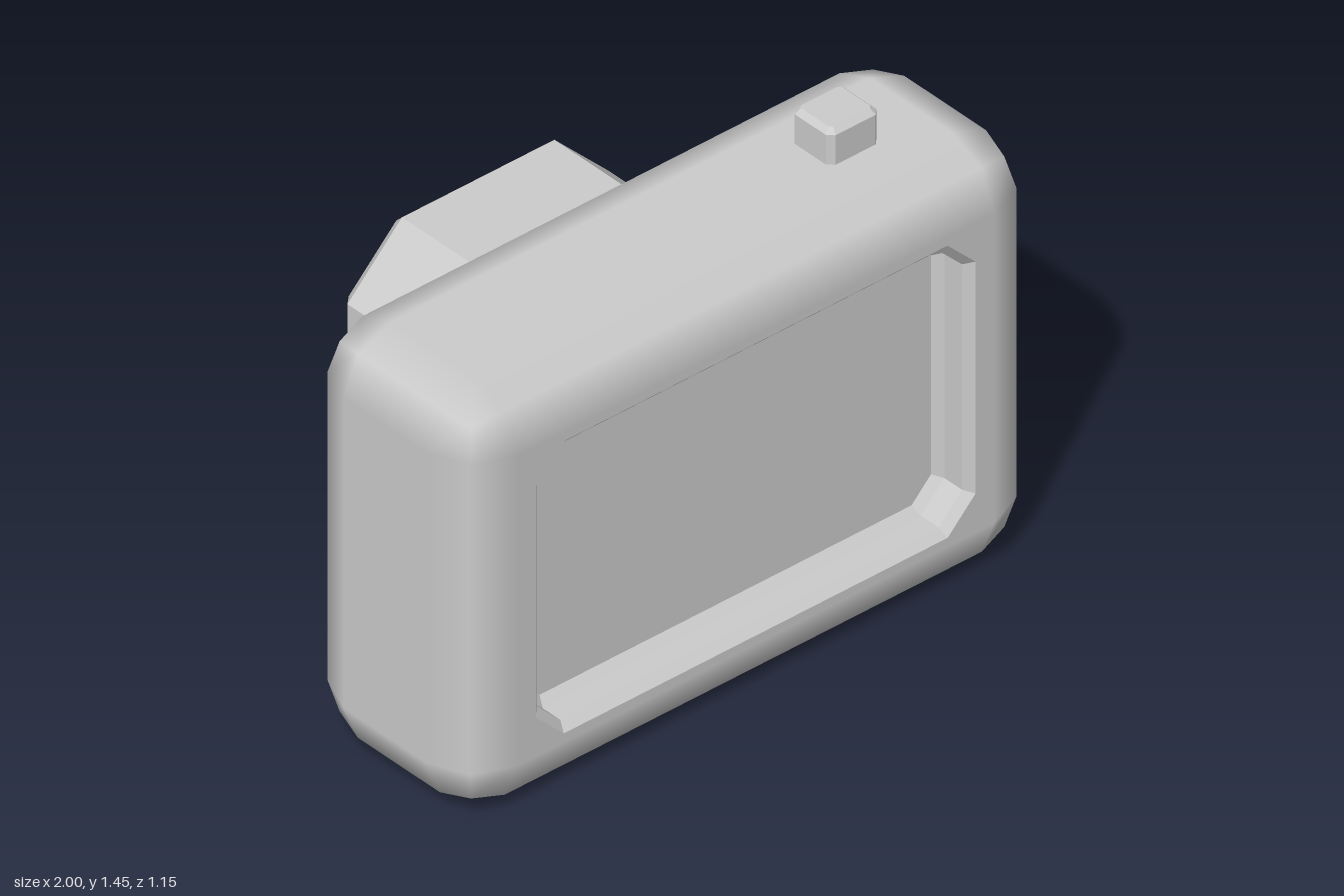
import * as THREE from 'three';
import { RoundedBoxGeometry } from 'three/addons/geometries/RoundedBoxGeometry.js';

const W = 2, H = 1.335, D = 0.665, R = 0.17;
const MID_Y = H / 2, MID_Z = 0.24;
const FRONT = MID_Z + D / 2, BACK = MID_Z - D / 2;

// Rectangle with clipped corners, counter-clockwise; inset keeps side distances even
function octagon(hx, hy, cut, inset = 0) {
  const x = hx - inset, y = hy - inset, c = cut - inset * 0.586;
  return [[x, c - y], [x, y - c], [x - c, y], [c - x, y],
    [-x, y - c], [-x, c - y], [c - x, -y], [x - c, -y]];
}

// Skin clipped-corner rings given as [inset, z], closing the last one with a flat cap
function loft(hx, hy, cut, profile, flip) {
  const pos = [];
  const tri = (a, b, c) => pos.push(...a, ...(flip ? c : b), ...(flip ? b : c));
  const rings = profile.map(([inset, z]) =>
    octagon(hx, hy, cut, inset).map(([x, y]) => [x, y, z]));
  for (let r = 0; r < rings.length - 1; r++) {
    for (let i = 0; i < 8; i++) {
      const j = (i + 1) % 8;
      tri(rings[r][i], rings[r][j], rings[r + 1][j]);
      tri(rings[r][i], rings[r + 1][j], rings[r + 1][i]);
    }
  }
  const cap = rings[rings.length - 1];
  for (let i = 1; i < 7; i++) tri(cap[0], cap[i], cap[i + 1]);
  const geo = new THREE.BufferGeometry();
  geo.setAttribute('position', new THREE.Float32BufferAttribute(pos, 3));
  geo.computeVertexNormals();
  return geo;
}

// Rounded box without its flat front panel
function shellGeometry() {
  const box = new RoundedBoxGeometry(W, H, D, 1, R);
  const src = box.index ? box.toNonIndexed() : box;
  const p = src.attributes.position, n = src.attributes.normal;
  const pos = [], nor = [];
  for (let i = 0; i < p.count; i += 3) {
    if ([0, 1, 2].every(k => p.getZ(i + k) > D / 2 - 0.001)) continue;
    for (let k = i; k < i + 3; k++) {
      pos.push(p.getX(k), p.getY(k), p.getZ(k));
      nor.push(n.getX(k), n.getY(k), n.getZ(k));
    }
  }
  const geo = new THREE.BufferGeometry();
  geo.setAttribute('position', new THREE.Float32BufferAttribute(pos, 3));
  geo.setAttribute('normal', new THREE.Float32BufferAttribute(nor, 3));
  return geo;
}

export function createModel() {
  const group = new THREE.Group();
  const smooth = new THREE.MeshStandardMaterial({ color: 0xcccccc });
  const flat = new THREE.MeshStandardMaterial({ color: 0xcccccc, flatShading: true });
  const add = (name, geo, mat, x, y, z) => {
    const mesh = new THREE.Mesh(geo, mat);
    mesh.name = name;
    mesh.position.set(x, y, z);
    group.add(mesh);
  };

  // Body shell and the front panel with the screen opening
  add('body', shellGeometry(), smooth, 0, MID_Y, MID_Z);
  const px = W / 2 - R, py = H / 2 - R;
  const vec = ([x, y]) => new THREE.Vector2(x, y);
  const panel = new THREE.Shape([[-px, -py], [px, -py], [px, py], [-px, py]].map(vec));
  const screen = [0.765, 0.47, 0.097];
  panel.holes.push(new THREE.Path(octagon(...screen).map(vec).reverse()));
  add('screenFrame', new THREE.ShapeGeometry(panel), smooth, 0, MID_Y, FRONT);

  // Recessed screen with chamfered lip and foot
  add('screen', loft(...screen,
    [[0, 0], [0.025, -0.025], [0.025, -0.095], [0.05, -0.12]], false), flat, 0, MID_Y, FRONT);

  // Lens barrel: flared foot, chamfered rim, recessed glass
  add('lens', loft(0.455, 0.405, 0.19, [
    [-0.03, BACK + 0.01], [-0.03, BACK], [0, -0.125], [0, -0.53], [0.042, -0.573],
    [0.12, -0.573], [0.145, -0.548], [0.145, -0.48], [0.17, -0.455],
  ], true), flat, 0, MID_Y + 0.003, 0);

  // Shutter button
  const button = loft(0.088, 0.08, 0.018,
    [[0, -0.03], [0, 0.095], [0.016, 0.111]], false).rotateX(-Math.PI / 2);
  add('shutterButton', button, flat, 0.575, H, 0.233);

  return group;
}
